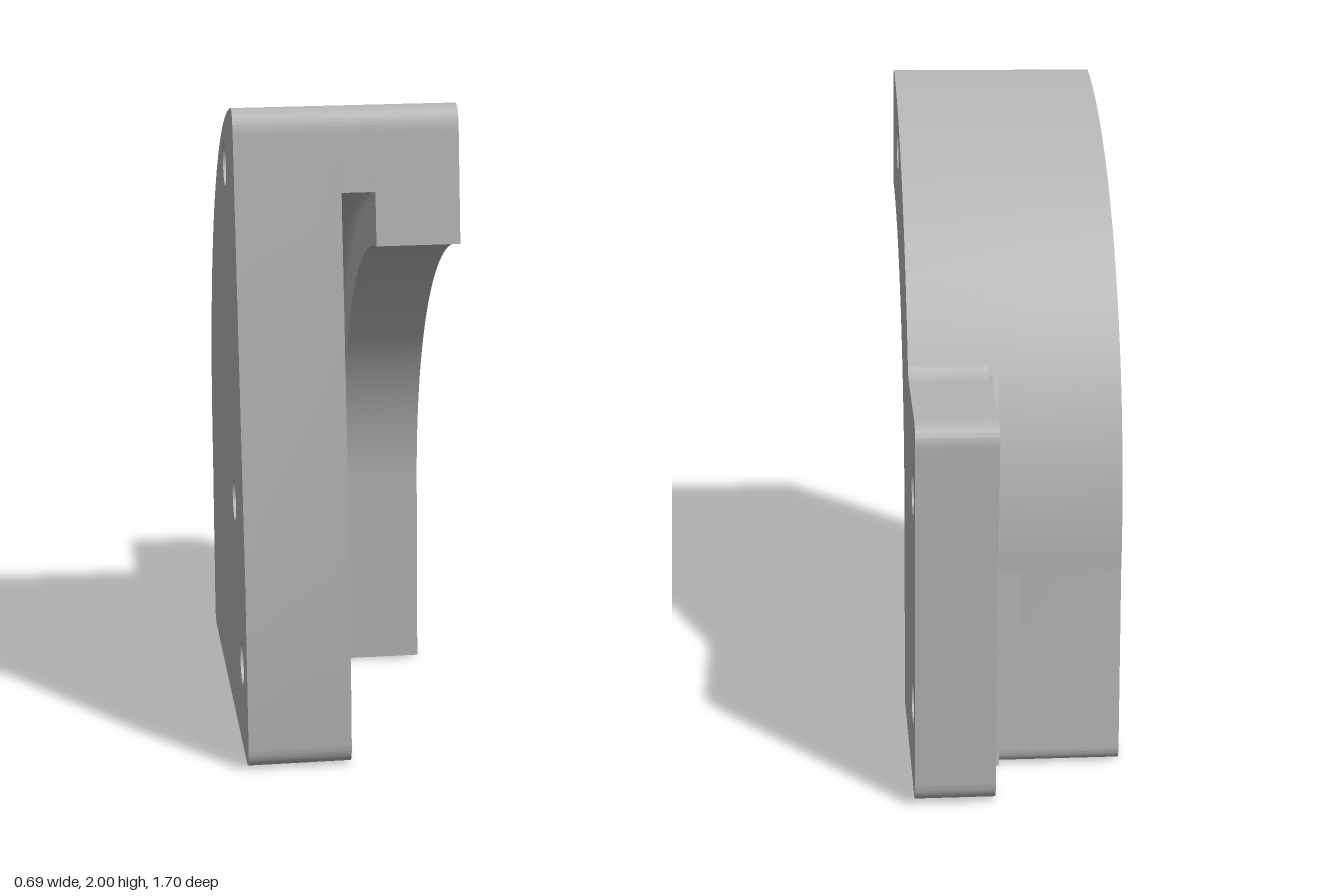
import * as THREE from 'three';
import { toCreasedNormals } from 'three/addons/utils/BufferGeometryUtils.js';

// Profiles are drawn as (u, v) = (-z, y) and extruded along x.
const CU = -0.84, CV = 0.635;            // shared centre of all arcs
const R_OUT = 1.37, R_GROOVE = 1.115, R_IN = 0.955;
const TOP = 1.432, LUG = 0.49;           // arc angles: top corner, lug junction
const X = [-0.335, -0.02, 0.08, 0.33];   // layer boundaries
const onArc = (r, a) => [CU + r * Math.cos(a), CV + r * Math.sin(a)];

// angle where an arc of radius r meets the slanted front edge
const frontAngle = (r) => Math.acos((-0.85 + 0.0963 * (CV + r - 0.6) - CU) / r);

// rounded top corner and outer arc, down to angle end
function outerArc(s, end) {
  s.lineTo(-0.7235, 1.92);
  s.quadraticCurveTo(-0.715, 2.003, ...onArc(R_OUT, TOP));
  s.absarc(CU, CV, R_OUT, TOP, end, true);
}

function bodyBack(s) {
  s.lineTo(0.595, 0.055);
  s.quadraticCurveTo(0.6, 0, 0.54, 0);
}

// inner arch from the bottom edge up to the front edge
function arch(s, r, bottomU) {
  s.lineTo(bottomU, 0);
  s.lineTo(CU + r, CV);
  s.absarc(CU, CV, r, 0, frontAngle(r), false);
}

function plate(shape, holes, x0, x1) {
  for (const [u, v] of holes) {
    const h = new THREE.Path();
    h.absarc(u, v, 0.067, 0, Math.PI * 2, true);
    shape.holes.push(h);
  }
  const g = new THREE.ExtrudeGeometry(shape, { depth: x1 - x0, bevelEnabled: false, curveSegments: 40 });
  g.translate(0, 0, x0).rotateY(Math.PI / 2);
  return toCreasedNormals(g, 0.4);
}

// concave fillet swept along an arc and the straight leg below it
function fillet(r, startAngle, bottomU, side) {
  const f = 0.03, steps = 6, n = 36, pos = [], idx = [];
  for (let i = 0; i <= n + 1; i++) {
    const a = i > n ? 0 : startAngle * (1 - i / n);
    const [u, v] = i > n ? [bottomU, 0] : onArc(r, a);
    for (let j = 0; j <= steps; j++) {
      const t = (j / steps) * Math.PI / 2;
      const off = side * f * (1 - Math.cos(t));
      pos.push(X[2] - f + f * Math.sin(t), v + off * Math.sin(a), -(u + off * Math.cos(a)));
      if (i && j) {
        const p = i * (steps + 1) + j, q = p - steps - 1;
        if (side > 0) idx.push(q - 1, p - 1, p, q - 1, p, q);
        else idx.push(q - 1, p, p - 1, q - 1, q, p);
      }
    }
  }
  const g = new THREE.BufferGeometry();
  g.setAttribute('position', new THREE.Float32BufferAttribute(pos, 3));
  g.setIndex(idx);
  g.computeVertexNormals();
  return g;
}

export function createModel() {
  const group = new THREE.Group();
  group.name = 'bracket';
  const grey = new THREE.MeshStandardMaterial({ color: 0xb4b4b4, side: THREE.DoubleSide });
  grey.name = 'plain grey';
  const add = (name, geometry) => {
    const m = new THREE.Mesh(geometry, grey);
    m.name = name;
    group.add(m);
  };
  const topHole = [-0.365, 1.79];

  // full side wall
  const wall = new THREE.Shape();
  wall.moveTo(-0.78, 0);
  wall.quadraticCurveTo(-0.85, 0, -0.85, 0.07);
  wall.lineTo(-0.85, 0.6);
  outerArc(wall, 0);
  bodyBack(wall);
  wall.closePath();
  add('sideWall', plate(wall, [topHole, [-0.475, 0.755], [-0.655, 0.28]], X[0], X[1]));

  // rim beside the groove
  const rim = new THREE.Shape();
  rim.moveTo(...onArc(R_GROOVE, frontAngle(R_GROOVE)));
  outerArc(rim, 0);
  bodyBack(rim);
  arch(rim, R_GROOVE, 0.34);
  add('grooveRim', plate(rim, [topHole], X[1], X[2]));

  // arched flange with mounting lug
  const flange = new THREE.Shape();
  flange.moveTo(...onArc(R_IN, frontAngle(R_IN)));
  outerArc(flange, LUG);
  flange.quadraticCurveTo(0.387, 1.245, 0.43, 1.245);
  flange.lineTo(0.775, 1.245);
  flange.quadraticCurveTo(0.845, 1.245, 0.845, 1.175);
  flange.lineTo(0.845, 0.07);
  flange.quadraticCurveTo(0.845, 0, 0.775, 0);
  arch(flange, R_IN, CU + R_IN);
  add('archedFlange', plate(flange, [topHole, [0.69, 0.98], [0.69, 0.28]], X[2], X[3]));

  // blends between the layers
  add('lugFillet', fillet(R_OUT, 0.46, 0.6, 1));
  add('grooveFillet', fillet(R_GROOVE, frontAngle(R_GROOVE), 0.34, -1));

  // slight sideways lean
  group.rotation.z = 0.0125;
  group.position.set(0.0125, 0.004, 0);
  return group;
}
